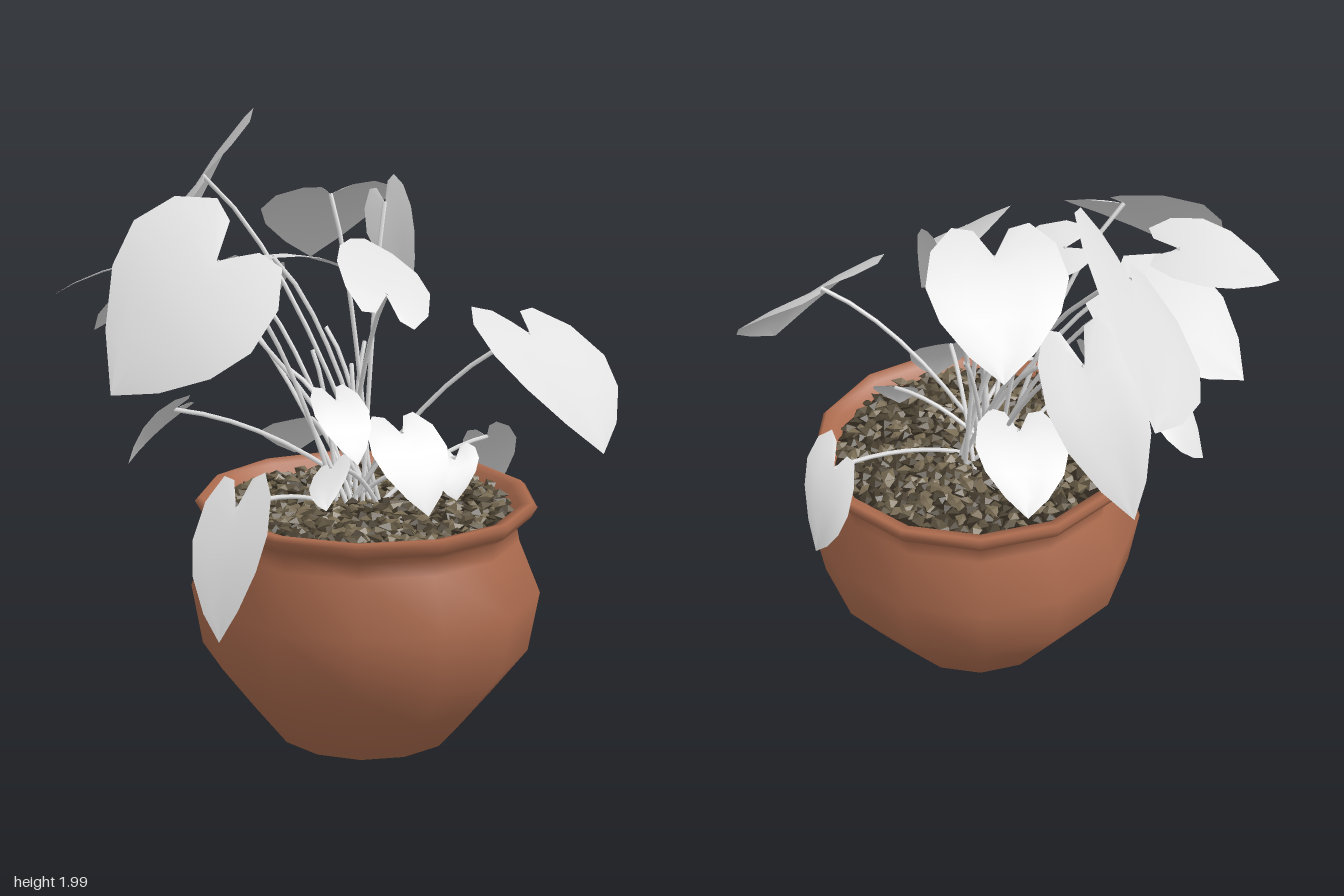
import * as THREE from 'three';
import { mergeGeometries } from 'three/addons/utils/BufferGeometryUtils.js';

const CX = 0.1, CZ = 0.21; // pot axis

const mat = (name, color, extra = {}) => {
  const m = new THREE.MeshStandardMaterial({ color, ...extra });
  m.name = name;
  return m;
};

// Seeded random numbers
let seed = 7;
const rnd = () => (seed = (seed * 16807) % 2147483647) / 2147483647;

// Each leaf: stem joint, tip, and half-width vector
const upperLeaves = [
  [-0.21, 1.77, -0.42, -0.17, 1.47, -0.78, 0.18, 0.23, 0.03],
  [-0.35, 1.5, -0.12, -0.62, 1.29, -0.37, -0.17, 0.03, 0.16],
  [-0.1, 1.43, -0.34, -0.17, 1.04, -0.64, 0.15, -0.03, 0.02],
  [-0.53, 1.57, 0.0, -0.83, 1.47, -0.12, -0.05, 0.03, 0.15],
  [-0.43, 1.61, 0.26, -0.81, 1.25, 0.36, 0.08, -0.16, 0.28],
  [0.12, 1.73, -0.12, 0.18, 1.47, -0.42, 0.22, 0.01, 0.02],
  [0.26, 1.71, 0.0, 0.28, 1.47, 0.17, 0.05, 0.05, 0.06],
  [0.05, 1.5, 0.45, 0.13, 1.62, 0.12, 0.15, -0.06, 0.02],
  [-0.18, 1.58, 0.1, 0.12, 1.5, 0.05, -0.02, 0.02, 0.14],
  [0.55, 1.34, 0.46, 0.67, 1.0, 0.73, 0.25, -0.04, -0.09],
];
const lowerLeaves = [
  [0.12, 1.05, 0.43, 0.14, 0.82, 0.58, 0.13, 0.0, 0.0],
  [0.62, 0.9, 0.06, 0.72, 0.67, -0.06, 0.04, 0.05, 0.11],
  [-0.45, 0.88, 0.45, -0.56, 0.51, 0.58, 0.09, 0.02, 0.08],
  [-0.45, 1.07, -0.08, -0.57, 0.87, -0.2, -0.05, 0.05, 0.1],
  [0.02, 1.0, -0.05, 0.06, 0.82, -0.28, 0.15, 0.02, 0.03],
  [-0.14, 1.2, 0.5, -0.13, 1.03, 0.64, 0.09, 0.0, 0.0],
  [-0.12, 0.96, 0.42, -0.18, 0.86, 0.52, 0.07, 0.03, 0.0],
  [0.33, 0.94, 0.39, 0.3, 0.82, 0.46, 0.08, 0.02, 0.0],
];

// Heart outline: position along the midrib, position of the edge, half width
const heart = [
  [0, 0, 0], [0.01, -0.24, 0.25], [0.03, -0.28, 0.55], [0.1, -0.08, 0.88],
  [0.28, 0.22, 1], [0.5, 0.5, 0.84], [0.78, 0.78, 0.46], [1, 1, 0],
];

function leafGeometry(base, tip, side) {
  const along = tip.clone().sub(base);
  const up = new THREE.Vector3().crossVectors(side, along).normalize();
  if (up.y < 0) up.negate();
  const len = along.length(), width = side.length();
  const columns = [-1, -0.5, 0, 0.5, 1];
  const pos = [], idx = [];
  for (const [mid, edge, w] of heart) {
    for (const c of columns) {
      const a = THREE.MathUtils.lerp(mid, edge, Math.abs(c));
      const lift = 0.25 * len * a * (1 - a) + width * w * (0.12 * Math.abs(c) - 0.1 * c * c);
      pos.push(...base.clone().addScaledVector(along, a).addScaledVector(side, w * c).addScaledVector(up, lift).toArray());
    }
  }
  const n = columns.length;
  for (let r = 0; r < heart.length - 1; r++) {
    for (let c = 0; c < n - 1; c++) {
      const i = r * n + c;
      idx.push(i, i + 1, i + n, i + 1, i + n + 1, i + n);
    }
  }
  const g = new THREE.BufferGeometry();
  g.setAttribute('position', new THREE.Float32BufferAttribute(pos, 3));
  g.setIndex(idx);
  g.computeVertexNormals();
  return g;
}

// Stem rising from the soil and arching over to the leaf joint
function stemGeometry(base, i) {
  const a = i * 2.4;
  const root = new THREE.Vector3(0.1 + 0.07 * Math.cos(a), 0.74, 0.16 + 0.06 * Math.sin(a));
  const bend = root.clone().lerp(base, 0.5);
  bend.y = THREE.MathUtils.lerp(root.y, base.y, 0.75) + 0.04;
  const curve = new THREE.QuadraticBezierCurve3(root, bend, base);
  return new THREE.TubeGeometry(curve, 8, 0.008, 5);
}

export function createModel() {
  const model = new THREE.Group();
  model.name = 'pottedPlant';
  const terracotta = mat('terracotta', 0xac6b4e, { side: THREE.DoubleSide });
  const leafGrey = mat('leafGrey', 0xe0e0e0, { side: THREE.DoubleSide });
  const soilDark = mat('soilDark', 0x2c261d);
  const pebbleColours = [
    mat('pebbleBrown', 0x5c513e, { flatShading: true }),
    mat('pebbleTan', 0x786b53, { flatShading: true }),
    mat('pebbleDark', 0x463d2e, { flatShading: true }),
  ];
  const add = (name, geometry, material, parent = model) => {
    const m = new THREE.Mesh(geometry, material);
    m.name = name;
    parent.add(m);
    return m;
  };

  // Pot: recessed foot, round belly, narrow neck and flared rim
  const profile = [
    [0, 0.04], [0.19, 0.04], [0.21, 0], [0.3, 0], [0.42, 0.15], [0.535, 0.3], [0.57, 0.5],
    [0.5, 0.67], [0.49, 0.72], [0.535, 0.75], [0.555, 0.785], [0.54, 0.8], [0.5, 0.79], [0.47, 0.73],
  ].map(([r, y]) => new THREE.Vector2(r, y));
  add('pot', new THREE.LatheGeometry(profile, 13), terracotta).position.set(CX, 0, CZ);

  // Soil bed
  const soil = add('soil', new THREE.CircleGeometry(0.485, 26), soilDark);
  soil.rotation.x = -Math.PI / 2;
  soil.position.set(CX, 0.75, CZ);

  // Pebbles scattered in a sunflower pattern
  const piles = [[], [], []];
  const COUNT = 480;
  for (let i = 0; i < COUNT; i++) {
    const r = 0.465 * Math.sqrt((i + 0.5) / COUNT), a = i * 2.39996;
    const g = new THREE.OctahedronGeometry(0.02 + 0.012 * rnd());
    g.scale(1.25, 0.6, 0.9);
    g.rotateX(rnd() - 0.5).rotateZ(rnd() - 0.5).rotateY(rnd() * 6.28);
    g.translate(CX + r * Math.cos(a), 0.76 + 0.014 * rnd(), CZ + r * Math.sin(a));
    piles[Math.floor(rnd() * 3)].push(g);
  }
  piles.forEach((pile, i) => add('pebbles' + (i + 1), mergeGeometries(pile), pebbleColours[i]));

  // Leaves with their stems
  const plant = new THREE.Group();
  plant.name = 'plant';
  model.add(plant);
  [...upperLeaves, ...lowerLeaves].forEach((d, i) => {
    const [base, tip, side] = [0, 3, 6].map((k) => new THREE.Vector3().fromArray(d, k));
    add('leaf' + (i + 1), leafGeometry(base, tip, side), leafGrey, plant);
    add('stem' + (i + 1), stemGeometry(base, i), leafGrey, plant);
  });

  // Bare young shoots among the stems
  for (let i = 0; i < 5; i++) {
    const end = new THREE.Vector3(-0.1 + 0.07 * i, 1.2 + 0.06 * (i % 3), 0.02 + 0.05 * (i % 2));
    add('shoot' + (i + 1), stemGeometry(end, i + 0.5), leafGrey, plant);
  }
  return model;
}
